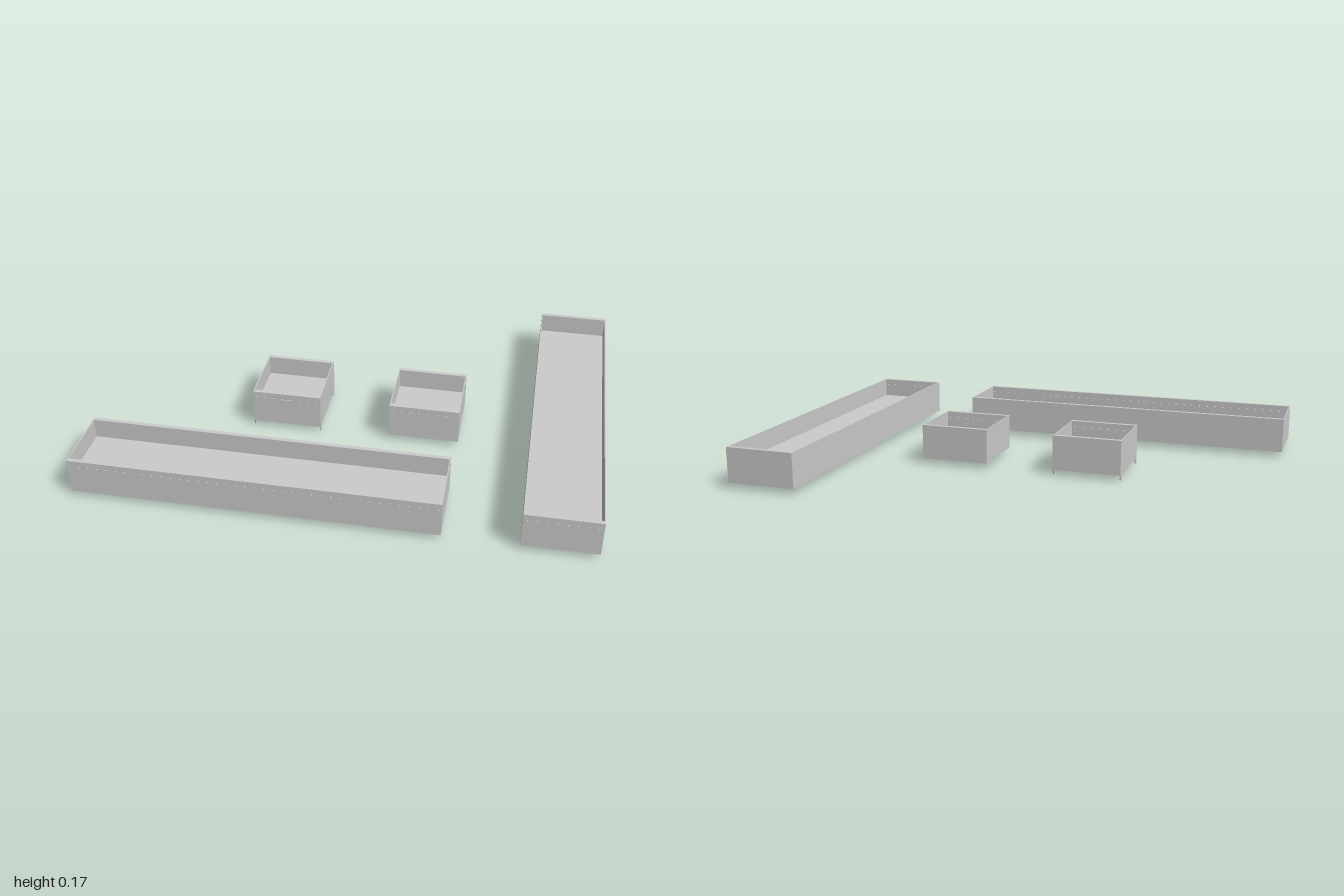
import * as THREE from 'three';

const material = new THREE.MeshStandardMaterial({ color: 0xcccccc, flatShading: true });
const BASE = 0.022, TOP = 0.166, FLOOR = 0.085;
const END = 0.017, SIDE = 0.004;

function add(parent, name, geometry, x, y, z) {
  const mesh = new THREE.Mesh(geometry, material);
  mesh.name = name;
  mesh.position.set(x, y, z);
  parent.add(mesh);
  return mesh;
}

// Front board with a row of small holes under its top edge
function perforatedBoard(width, height) {
  const shape = new THREE.Shape();
  shape.moveTo(-width / 2, 0).lineTo(width / 2, 0).lineTo(width / 2, height).lineTo(-width / 2, height).closePath();
  const count = Math.round(width / 0.036);
  for (let i = 0; i < count; i++) {
    const hole = new THREE.Path();
    hole.absarc((i - (count - 1) / 2) * 0.036, height - 0.025, 0.003, 0, Math.PI * 2, true);
    shape.holes.push(hole);
  }
  return new THREE.ExtrudeGeometry(shape, { depth: END, bevelEnabled: false, curveSegments: 4 });
}

// Open planter box: raised floor, thick front and back, thin sides
function planter(name, x0, x1, z0, z1) {
  const group = new THREE.Group();
  group.name = name;
  const w = x1 - x0, d = z1 - z0, h = TOP - BASE;
  group.position.set((x0 + x1) / 2, BASE, (z0 + z1) / 2);
  add(group, 'floor', new THREE.BoxGeometry(w - 2 * SIDE, FLOOR - BASE, d - 2 * END), 0, (FLOOR - BASE) / 2, 0);
  add(group, 'backWall', new THREE.BoxGeometry(w, h, END), 0, h / 2, -d / 2 + END / 2);
  add(group, 'frontWall', perforatedBoard(w, h), 0, 0, d / 2 - END);
  for (const s of [-1, 1])
    add(group, s > 0 ? 'leftWall' : 'rightWall', new THREE.BoxGeometry(SIDE, h, d - 2 * END), s * (w - SIDE) / 2, h / 2, 0);
  return group;
}

export function createModel() {
  const model = new THREE.Group();
  model.name = 'planterSet';

  const footed = planter('footedPlanter', -0.428, -0.145, -0.145, 0.139);
  model.add(
    footed,
    planter('smallPlanter', 0.14, 0.425, -0.145, 0.139),
    planter('frontLongPlanter', -1, 0.425, 0.428, 0.713),
    planter('sideLongPlanter', 0.713, 1, -0.716, 0.713)
  );

  // Thin feet near the corners
  for (const x of [-0.139, 0.139])
    for (const z of [-0.127, 0.133])
      add(footed, 'foot', new THREE.CylinderGeometry(0.004, 0.004, BASE, 10), x, -BASE / 2, z);

  // Latch plate with a small knob
  add(footed, 'latchPlate', new THREE.BoxGeometry(0.024, 0.045, 0.003), 0, 0.095, 0.1435);
  const knob = add(footed, 'latchKnob', new THREE.CylinderGeometry(0.005, 0.005, 0.004, 10), 0, 0.1, 0.146);
  knob.rotation.x = Math.PI / 2;

  return model;
}
